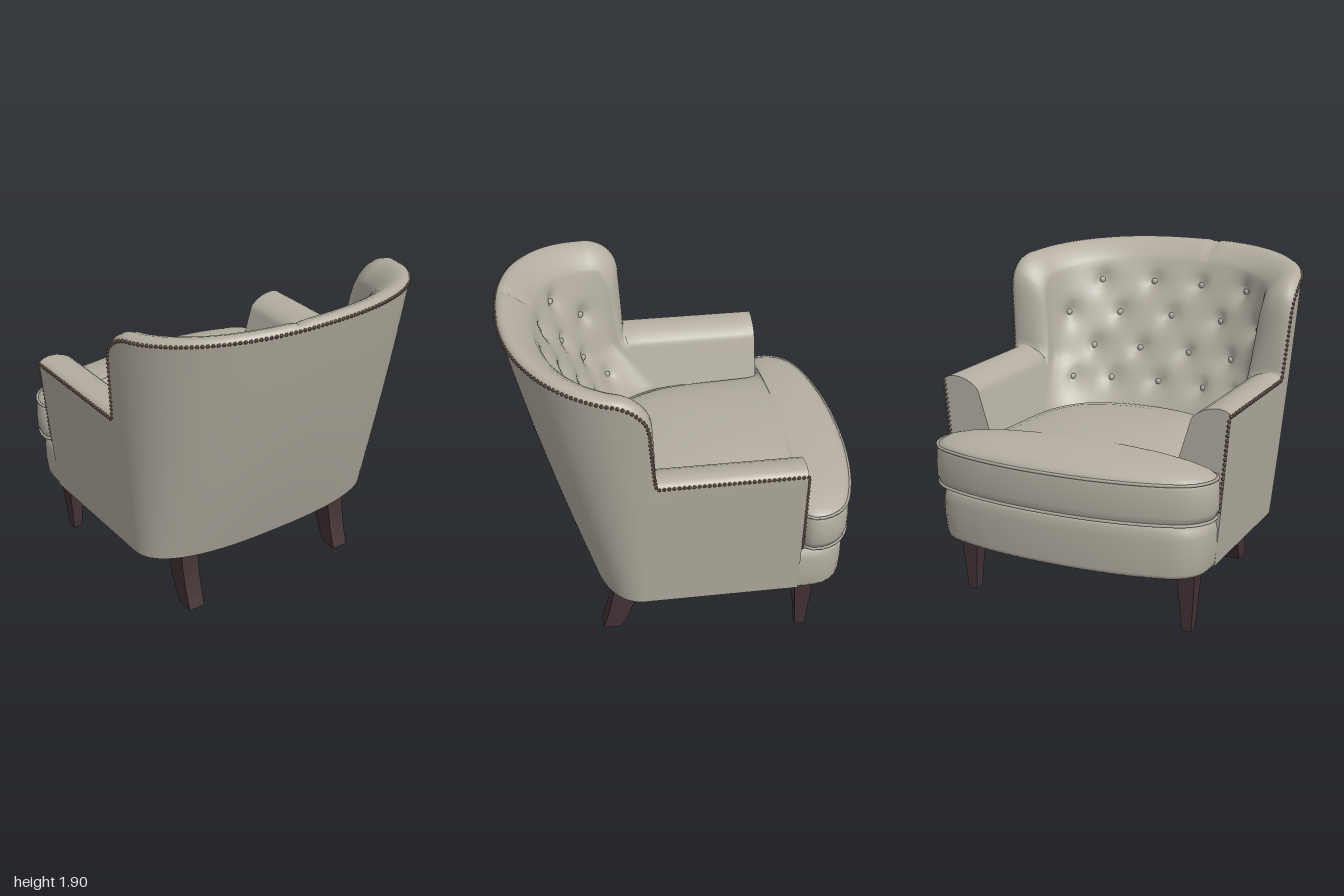
import * as THREE from 'three';
import { mergeGeometries } from 'three/addons/utils/BufferGeometryUtils.js';

const fabric = new THREE.MeshStandardMaterial({ color: 0xb4aea1, side: THREE.DoubleSide });
fabric.name = 'greige fabric';
const wood = new THREE.MeshStandardMaterial({ color: 0x443335 });
wood.name = 'dark wood';
const brass = new THREE.MeshStandardMaterial({ color: 0x7c6453 });
brass.name = 'antique nail brown';

const { lerp, clamp } = THREE.MathUtils;
const V = (x, y, z) => new THREE.Vector3(x, y, z);
const FRONT = -0.6, FLOOR = 0.38, ARM = 1.235, BEND = 0.26;

// Smooth surface through rows of points; closed joins each row's end to its start
function skin(rows, closed = false) {
  const n = rows[0].length, pts = rows.flat(), idx = [];
  const face = (a, b, c) => {
    const same = (p, q) => pts[p].distanceToSquared(pts[q]) < 1e-10;
    if (!same(a, b) && !same(b, c) && !same(c, a)) idx.push(a, b, c);
  };
  for (let i = 0; i < rows.length - 1; i++) {
    for (let j = 0; j < (closed ? n : n - 1); j++) {
      const a = i * n + j, b = i * n + (j + 1) % n;
      face(a, a + n, b);
      face(b, a + n, b + n);
    }
  }
  const g = new THREE.BufferGeometry().setFromPoints(pts);
  g.setIndex(idx);
  g.computeVertexNormals();
  return g;
}

// U-shaped plan: straight sides, then a superellipse round the back
function plan(st, a, zc, zBack, e, y) {
  const c = Math.cos(st.th), s = Math.max(0, Math.sin(st.th));
  const x = a * Math.sign(c) * Math.abs(c) ** e;
  if (st.z !== undefined) return V(x, y, FRONT + (st.z - FRONT) / (BEND - FRONT) * (zc - FRONT));
  return V(x, y, zc + (zBack - zc) * s ** e);
}
function outer(st, y) {
  const d = y - FLOOR;
  return plan(st, 0.81 + 0.094 * d - 0.007 * d * d, BEND, 0.57 + 0.345 * d - 0.04 * d * d, lerp(0.78, 0.88, d / 1.5), y);
}
const innerHalf = y => 0.57 + 0.3 * clamp(y - 0.9, 0, 0.3) + 0.12 * Math.max(0, y - 1.2);
function inner(st, y) {
  const zc = BEND * clamp((y - 0.9) / 0.3, 0, 1);
  return plan(st, innerHalf(y), zc, 0.33 + 0.53 * (Math.max(y, 0.8) - 0.9), 0.85, y);
}

// Stations along the wall, each with the height of its nailed edge
function makeStations() {
  const half = [];
  for (let i = 0; i <= 8; i++) half.push({ th: 0, z: lerp(FRONT, 0.215, i / 8), h: ARM, rise: 0 });
  for (let i = 1; i <= 9; i++) {
    const t = i / 9;
    half.push({ th: 0, z: lerp(0.22, BEND, t), h: ARM + 0.385 * t ** 1.4, rise: Math.sin(t * Math.PI / 2) });
  }
  for (let i = 1; i <= 56; i++) {
    const th = Math.PI / 2 * (i / 56) ** 1.25, u = Math.min(1, th / 0.25);
    const h = 1.62 + 0.18 * Math.sqrt(1 - (1 - u) ** 2) + 0.075 * Math.max(0, (Math.sin(th) - 0.25) / 0.75);
    half.push({ th, h, rise: 1 - u });
  }
  const other = half.slice(0, -1).reverse().map(s => ({ ...s, th: Math.PI - s.th }));
  return [...half, ...other];
}

// Button positions in staggered rows: [height, x of one side]
const tufts = [];
[[1.64, [0.15, 0.46]], [1.45, [0, 0.32, 0.6]], [1.25, [0.15, 0.43]], [1.07, [0, 0.28, 0.5]]].forEach(([y, xs]) => {
  xs.forEach(x => (x ? [x, -x] : [0]).forEach(px => {
    const th = Math.acos((Math.abs(px) / innerHalf(y)) ** (1 / 0.85));
    tufts.push(inner({ th: px < 0 ? Math.PI - th : th }, y));
  }));
});
const outward = p => V(p.x, 0, p.z - 0.1).normalize();

// Padding section: rolls over the top edge, then runs down the tufted inside
function padding(st) {
  const out = [], drop = st.z !== undefined && st.rise === 0 ? 0.045 : 0.1;
  for (let i = 0; i <= 8; i++) {
    const phi = Math.PI * i / 8, w = (1 - Math.cos(phi)) / 2, bulge = Math.sin(phi);
    const p = outer(st, st.h).lerp(inner(st, st.h - drop * w * w), w);
    p.y = st.h - drop * w * w + 0.042 * bulge;
    p.z += st.rise * (0.04 * w * w - 0.025 * bulge);
    // shallow seam notch across the top of the back
    if (p.z > 0.6) p.y -= 0.018 * bulge * Math.exp(-(((p.x + 0.18) / 0.025) ** 2));
    out.push(p);
  }
  for (let i = 1; i <= 26; i++) {
    const p = inner(st, lerp(st.h - drop, 0.8, i / 26));
    p.z += st.rise * 0.04 * (1 - i / 26);
    let push = 0;
    tufts.forEach(t => {
      const d2 = t.distanceToSquared(p);
      push = Math.max(push, 0.025 * Math.exp(-d2 / 0.007) + 0.03 * Math.exp(-d2 / 0.0016));
    });
    out.push(p.addScaledVector(outward(p), push));
  }
  return out;
}

// Mirrored smooth outline, and a cushion made of rings scaled about a centre
function outlineOf(half, count) {
  const pts = half.map(([x, z]) => V(x, 0, z));
  const back = half.slice(1, -1).reverse().map(([x, z]) => V(-x, 0, z));
  const curve = new THREE.CatmullRomCurve3([...pts, ...back], true, 'centripetal');
  return curve.getSpacedPoints(count).slice(0, -1);
}
const ring = (outline, s, y) => outline.map(p => V(p.x * s, y, -0.64 + (p.z + 0.64) * s));
const pillow = (outline, profile) => skin(profile.map(([s, y]) => ring(outline, s, y)), true);

export function createModel() {
  const chair = new THREE.Group();
  chair.name = 'tuftedArmchair';
  const add = (name, geo, mat) => {
    const m = new THREE.Mesh(geo, mat);
    m.name = name;
    chair.add(m);
    return m;
  };

  // Outside panel and inside padding
  const stations = makeStations();
  const outsideRows = stations.map(st => Array.from({ length: 9 }, (_, i) => outer(st, lerp(FLOOR, st.h, i / 8))));
  const paddingRows = stations.map(padding);
  add('outsidePanel', skin(outsideRows), fabric);
  add('insidePadding', skin(paddingRows), fabric);

  // Flat front panels of the arms
  const section = [...outsideRows[0], ...paddingRows[0].slice(1), V(0.57, FLOOR, 0)];
  [1, -1].forEach(side => {
    const shape = new THREE.Shape(section.map(p => new THREE.Vector2(p.x * side, p.y)));
    add('armFrontPanel', new THREE.ShapeGeometry(shape).translate(0, 0, FRONT), fabric);
  });

  // Underside
  const floorShape = new THREE.Shape(outsideRows.map(r => new THREE.Vector2(r[0].x, r[0].z)));
  add('underside', new THREE.ShapeGeometry(floorShape).rotateX(Math.PI / 2).translate(0, FLOOR, 0), fabric);

  // Bowed seat rail
  const rail = outlineOf([[0, -0.45], [0.5, -0.45], [0.78, -0.46], [0.815, -0.52], [0.82, -0.66], [0.805, -0.76],
    [0.73, -0.85], [0.52, -0.915], [0.27, -0.95], [0, -0.96]], 72);
  add('seatRail', pillow(rail, [[0, 0.38], [0.975, 0.38], [0.985, 0.4], [1, 0.5], [1, 0.6],
    [0.985, 0.65], [0.95, 0.67], [0, 0.675]]), fabric);

  // T-shaped seat cushion with piped edges
  const seat = outlineOf([[0, 0.4], [0.25, 0.37], [0.43, 0.28], [0.54, 0.1], [0.58, -0.1], [0.6, -0.4], [0.62, -0.58],
    [0.66, -0.615], [0.82, -0.615], [0.855, -0.66], [0.85, -0.75], [0.78, -0.85], [0.6, -0.925], [0.3, -0.98], [0, -0.995]], 120);
  add('seatCushion', pillow(seat, [[0, 0.675], [0.94, 0.68], [0.98, 0.695], [1, 0.74], [1.003, 0.82], [0.995, 0.89],
    [0.98, 0.92], [0.93, 0.945], [0.8, 0.972], [0.6, 0.995], [0.35, 1.01], [0, 1.015]]), fabric);
  [[0.985, 0.692], [0.99, 0.915]].forEach(([s, y]) => {
    const path = new THREE.CatmullRomCurve3(ring(seat, s, y), true);
    add('cushionPiping', new THREE.TubeGeometry(path, 110, 0.009, 5, true), fabric);
  });

  // Tufting buttons
  tufts.forEach(t => {
    const dir = outward(t);
    const b = add('tuftButton', new THREE.SphereGeometry(0.02, 10, 6).scale(1, 1, 0.6), fabric);
    b.position.copy(t).addScaledVector(dir, 0.043);
    b.rotation.y = Math.atan2(dir.x, dir.z);
  });

  // Nail heads up the arm fronts and along the whole top edge
  const down = Array.from({ length: 8 }, (_, i) => outer(stations[0], lerp(0.7, ARM - 0.03, i / 7)).add(V(-0.006, 0, -0.006)));
  const edge = stations.map(st => outer(st, st.h));
  const trail = new THREE.CurvePath();
  [...down, ...edge, ...down.map(p => V(-p.x, p.y, p.z)).reverse()].forEach((p, i, all) => {
    if (i) trail.add(new THREE.LineCurve3(all[i - 1], p));
  });
  const nails = trail.getSpacedPoints(Math.round(trail.getLength() / 0.027))
    .map(p => new THREE.IcosahedronGeometry(0.0115, 0).translate(p.x, p.y, p.z));
  add('nailTrim', mergeGeometries(nails), brass);

  // Tapered front legs and swept back legs
  const leg = (w0, w1, d0, d1, x, z, sweep) => {
    const g = new THREE.BoxGeometry(1, 0.4, 1, 1, 6, 1).translate(0, 0.2, 0).toNonIndexed();
    const p = g.attributes.position;
    for (let i = 0; i < p.count; i++) {
      const t = clamp(1 - p.getY(i) / 0.4, 0, 1);
      p.setX(i, x + p.getX(i) * lerp(w0, w1, t));
      p.setZ(i, z + p.getZ(i) * lerp(d0, d1, t) + sweep * t ** 1.7);
    }
    g.computeVertexNormals();
    return g;
  };
  [1, -1].forEach(side => {
    add('frontLeg', leg(0.115, 0.055, 0.115, 0.06, side * 0.685, -0.655, 0), wood);
    add('backLeg', leg(0.115, 0.1, 0.17, 0.11, side * 0.54, 0.36, 0.098), wood);
  });
  return chair;
}
